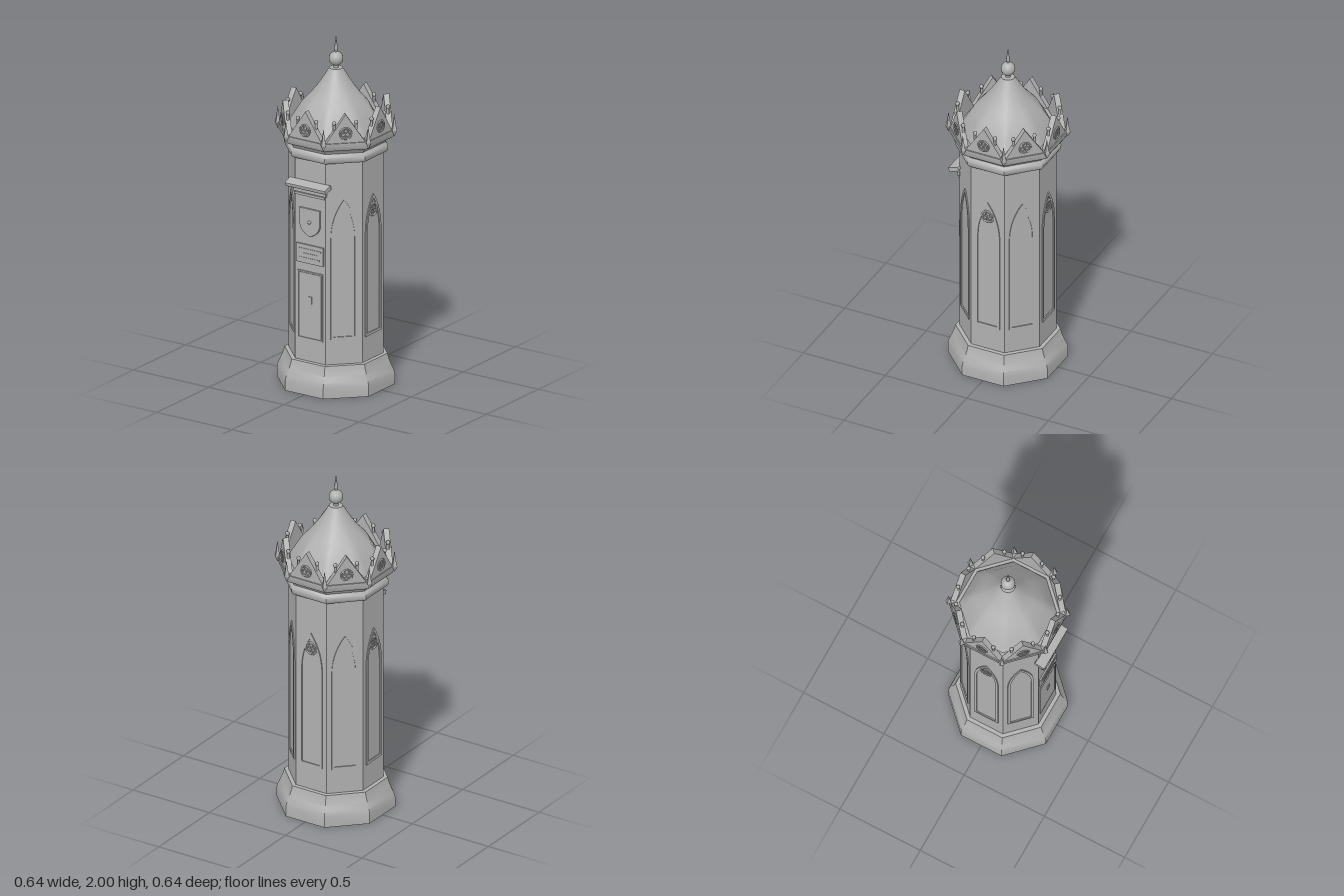
import * as THREE from 'three';
import { toCreasedNormals, mergeVertices } from 'three/addons/utils/BufferGeometryUtils.js';

const stone = new THREE.MeshStandardMaterial({ color: 0xb0b0b0 });
stone.name = 'stone grey';
const STEP = Math.PI / 4, C8 = Math.cos(Math.PI / 8);
const WALL = 0.245; // distance from the axis to each flat side

function add(parent, name, geo, x = 0, y = 0, z = 0) {
  const m = new THREE.Mesh(geo, stone);
  m.name = name;
  m.position.set(x, y, z);
  parent.add(m);
  return m;
}

// Eight-sided ring from [apothem, y] points, bottom to top
function octagon(points, crease) {
  const pts = points.map(([r, y]) => new THREE.Vector2(r / C8, y));
  return toCreasedNormals(new THREE.LatheGeometry(pts, 8, Math.PI / 8), crease);
}

function extrude(shape, depth, bevel = 0) {
  return new THREE.ExtrudeGeometry(shape, {
    depth, curveSegments: 10, bevelEnabled: bevel > 0,
    bevelSize: bevel, bevelThickness: bevel, bevelSegments: 2, bevelOffset: -bevel,
  });
}

function lancet(Type, w, bottom, spring, apex) {
  const s = new Type();
  s.moveTo(-w, bottom);
  s.lineTo(w, bottom);
  s.lineTo(w, spring);
  s.quadraticCurveTo(w, spring + (apex - spring) * 0.58, 0, apex);
  s.quadraticCurveTo(-w, spring + (apex - spring) * 0.58, -w, spring);
  s.closePath();
  return s;
}

function rect(Type, w, y0, y1) {
  const s = new Type();
  s.moveTo(-w, y0);
  s.lineTo(w, y0);
  s.lineTo(w, y1);
  s.lineTo(-w, y1);
  s.closePath();
  return s;
}

// Round ornament: outer ring with three small lobes
function roundel(parent, r, y, z) {
  const g = new THREE.Group();
  g.name = 'trefoilRoundel';
  g.position.set(0, y, z);
  add(g, 'roundelRim', new THREE.TorusGeometry(r * 0.87, r * 0.14, 6, 20));
  for (let i = 0; i < 3; i++) {
    const a = Math.PI / 2 + (i * Math.PI * 2) / 3;
    add(g, 'roundelLobe', new THREE.TorusGeometry(r * 0.32, r * 0.1, 5, 12),
      Math.cos(a) * r * 0.4, Math.sin(a) * r * 0.4, 0);
  }
  parent.add(g);
}

// Roof: octagonal eaves blending into a round top
function roofGeometry() {
  const profile = [[0.25, 1.47], [0.237, 1.5], [0.211, 1.55], [0.182, 1.605], [0.14, 1.655],
    [0.103, 1.705], [0.068, 1.76], [0.04, 1.808]];
  const geo = new THREE.LatheGeometry(profile.map(([r, y]) => new THREE.Vector2(r, y)), 48);
  const p = geo.attributes.position;
  for (let i = 0; i < p.count; i++) {
    const x = p.getX(i), z = p.getZ(i);
    const a = Math.atan2(x, z);
    const off = a - Math.round(a / STEP) * STEP;
    const t = THREE.MathUtils.clamp((1.76 - p.getY(i)) / 0.26, 0, 1);
    const k = 1 + (1 / Math.cos(off) - 1) * t;
    p.setX(i, x * k);
    p.setZ(i, z * k);
  }
  geo.deleteAttribute('uv');
  geo.deleteAttribute('normal');
  const merged = mergeVertices(geo, 1e-5);
  merged.computeVertexNormals();
  return merged;
}

function windowFrame(side) {
  const outer = lancet(THREE.Shape, 0.074, 0.32, 0.9, 1.13);
  outer.holes.push(lancet(THREE.Path, 0.059, 0.336, 0.9, 1.105));
  add(side, 'windowFrame', extrude(outer, 0.009), 0, 0, WALL - 0.003);
}

function crownSide(side) {
  // Triangular gable with pegs on its slopes
  const tri = new THREE.Shape();
  tri.moveTo(-0.113, 1.47);
  tri.lineTo(0.113, 1.47);
  tri.lineTo(0, 1.64);
  tri.closePath();
  add(side, 'gable', extrude(tri, 0.032), 0, 0, 0.264);
  for (const s of [-1, 1]) {
    add(side, 'gablePeg', new THREE.CylinderGeometry(0.008, 0.008, 0.035, 6), s * 0.061, 1.562, 0.278);
    add(side, 'pegKnob', new THREE.SphereGeometry(0.0125, 6, 4), s * 0.061, 1.586, 0.278);
  }
  roundel(side, 0.036, 1.53, 0.298);
}

function frontFittings(side) {
  // Sloping hood above the letter slot
  const hood = add(side, 'slotHood', extrude(rect(THREE.Shape, 0.134, -0.012, 0.012), 0.052, 0.006), 0, 1.21, 0.243);
  hood.rotation.x = 0.3;
  add(side, 'slotSurround', new THREE.BoxGeometry(0.216, 0.025, 0.014), 0, 1.164, WALL + 0.004);
  add(side, 'slotSill', new THREE.BoxGeometry(0.2, 0.014, 0.02), 0, 1.141, WALL + 0.002);

  // Shield with a raised boss
  const sh = new THREE.Shape();
  sh.moveTo(-0.067, 1.062);
  sh.lineTo(-0.067, 0.97);
  sh.quadraticCurveTo(-0.062, 0.922, 0, 0.9);
  sh.quadraticCurveTo(0.062, 0.922, 0.067, 0.97);
  sh.lineTo(0.067, 1.062);
  sh.closePath();
  add(side, 'shield', extrude(sh, 0.007, 0.004), 0, 0, WALL);
  add(side, 'shieldBoss', new THREE.SphereGeometry(0.01, 10, 6), 0, 0.985, WALL + 0.011);

  // Notice plate with plain raised bars
  add(side, 'noticePlate', new THREE.BoxGeometry(0.178, 0.108, 0.012), 0, 0.798, WALL + 0.003);
  [0.15, 0.1, 0.13].forEach((w, i) =>
    add(side, 'noticeBar', new THREE.BoxGeometry(w, 0.007, 0.004), 0, 0.825 - i * 0.026, WALL + 0.01));

  // Door with a thin border, and the lock
  const border = rect(THREE.Shape, 0.084, 0.304, 0.696);
  border.holes.push(rect(THREE.Path, 0.077, 0.311, 0.689));
  add(side, 'doorBorder', extrude(border, 0.007), 0, 0, WALL - 0.002);
  add(side, 'door', new THREE.BoxGeometry(0.148, 0.372, 0.008), 0, 0.5, WALL);
  add(side, 'lockPlate', new THREE.BoxGeometry(0.024, 0.042, 0.008), 0, 0.532, WALL + 0.005);
}

export function createModel() {
  const model = new THREE.Group();
  model.name = 'octagonalPillarBox';

  // Plinth, shaft and mouldings
  add(model, 'plinth', octagon([[0, 0], [0.305, 0], [0.305, 0.06], [0.298, 0.085], [0.283, 0.12],
    [0.272, 0.15], [0.266, 0.175], [0.24, 0.177]], 0.72));
  add(model, 'shaft', octagon([[WALL, 0.17], [WALL, 1.35]], 0.5));
  add(model, 'cornice', octagon([[0.24, 1.345], [0.262, 1.346], [0.269, 1.358], [0.27, 1.38],
    [0.263, 1.393], [0.255, 1.4], [0.262, 1.415], [0.288, 1.43]], 0.7));
  add(model, 'crownRing', octagon([[0.25, 1.428], [0.292, 1.43], [0.3, 1.445], [0.302, 1.475],
    [0.245, 1.477]], 0.5));

  // Eight sides
  for (let i = 0; i < 8; i++) {
    const side = new THREE.Group();
    side.name = i === 0 ? 'frontSide' : 'side' + i;
    side.rotation.y = i * STEP;
    crownSide(side);
    if (i === 0) frontFittings(side);
    else windowFrame(side);
    if (i === 2 || i === 4 || i === 6) roundel(side, 0.04, 1.04, WALL + 0.003);
    model.add(side);

    // Spike on each corner of the crown
    const a = (i + 0.5) * STEP, r = 0.326;
    const spike = new THREE.LatheGeometry(
      [[0, 1.435], [0.019, 1.47], [0.011, 1.5], [0, 1.565]].map(([x, y]) => new THREE.Vector2(x, y)), 4);
    add(model, 'cornerSpike', toCreasedNormals(spike, 0.3), Math.sin(a) * r, 0, Math.cos(a) * r);
  }

  // Roof and finial
  add(model, 'roof', roofGeometry());
  add(model, 'roofCap', new THREE.CylinderGeometry(0.038, 0.04, 0.006, 24), 0, 1.809, 0);
  add(model, 'finialNeck', new THREE.CylinderGeometry(0.014, 0.014, 0.04, 8), 0, 1.825, 0);
  add(model, 'finialBall', new THREE.SphereGeometry(0.04, 16, 12), 0, 1.864, 0);
  add(model, 'finialSpike', new THREE.LatheGeometry(
    [[0.007, 1.89], [0.007, 1.912], [0.012, 1.92], [0.006, 1.955], [0, 2]].map(([x, y]) => new THREE.Vector2(x, y)), 6));
  return model;
}
